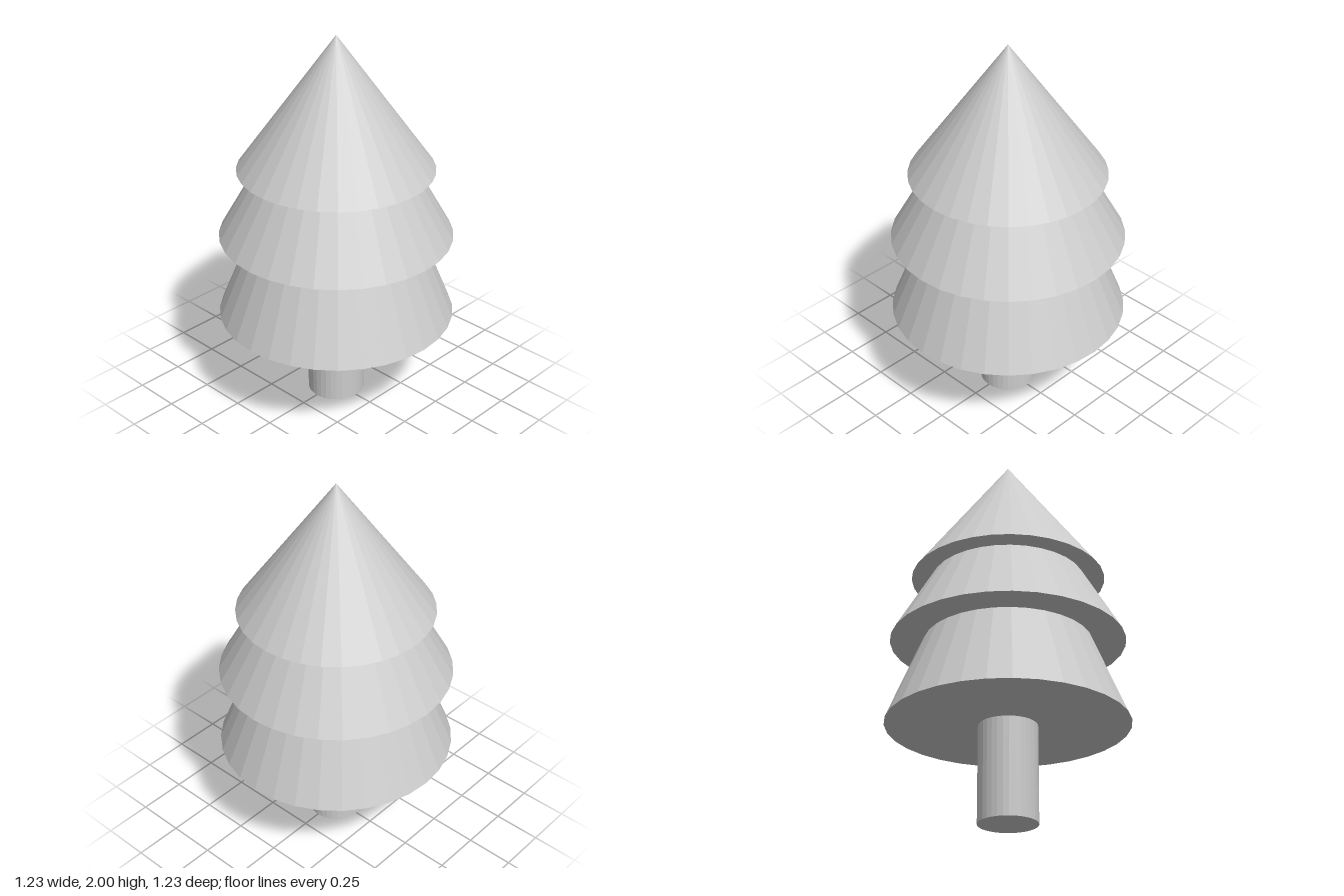
import * as THREE from 'three';

const SIDES = 32;
const TOP = 2;

export function createModel() {
  const tree = new THREE.Group();
  tree.name = 'tree';
  const material = new THREE.MeshStandardMaterial({ color: 0xcccccc, flatShading: true });

  const addPart = (name, geometry, y) => {
    const mesh = new THREE.Mesh(geometry, material);
    mesh.name = name;
    mesh.position.y = y;
    tree.add(mesh);
  };

  // Trunk, ending at the underside of the foliage
  const trunkHeight = 0.5;
  addPart('trunk', new THREE.CylinderGeometry(0.15, 0.15, trunkHeight, SIDES), trunkHeight / 2);

  // Foliage: nested cones that share one tip
  const tiers = [
    { name: 'lowerFoliage', base: 0.5, radius: 0.615 },
    { name: 'middleFoliage', base: 0.947, radius: 0.602 },
    { name: 'upperFoliage', base: 1.307, radius: 0.502 },
  ];
  for (const { name, base, radius } of tiers) {
    addPart(name, new THREE.ConeGeometry(radius, TOP - base, SIDES), (TOP + base) / 2);
  }

  return tree;
}
